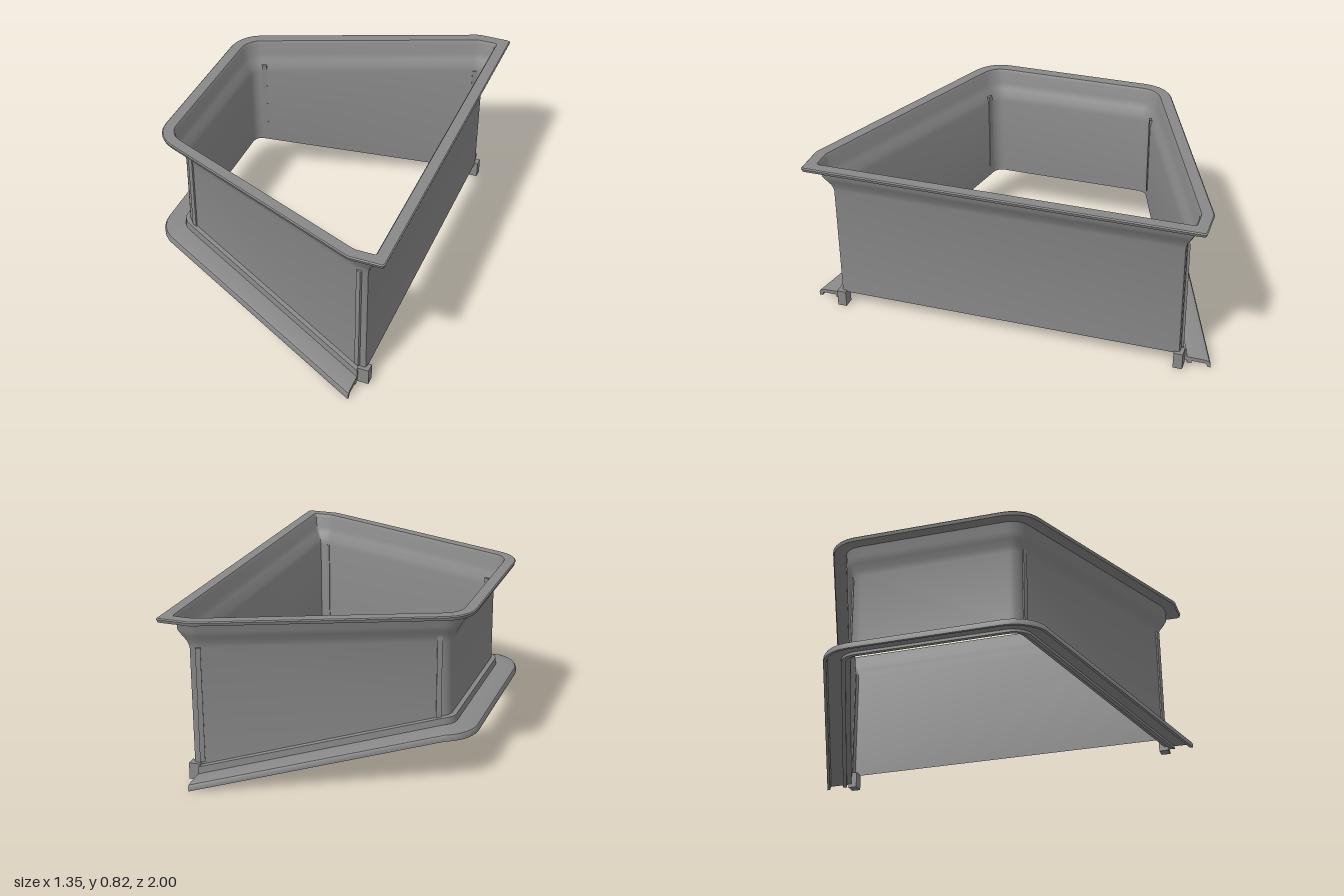
import * as THREE from 'three';
import { toCreasedNormals } from 'three/addons/utils/BufferGeometryUtils.js';

const SLOPE = 0.413, SEC = Math.hypot(1, SLOPE);
const LEFT = -0.55, RIGHT = 0.567, FLAT = 0.857, CUT = 0.533;
const slantZ = (x, d) => 0.64 + d * SEC + SLOPE * x;

// Replace corner b (between a and c) by an arc of radius r
function fillet(a, b, c, r, n) {
  const u = a.clone().sub(b).normalize(), v = c.clone().sub(b).normalize();
  const half = Math.acos(u.dot(v)) / 2;
  const centre = u.clone().add(v).normalize().multiplyScalar(r / Math.sin(half)).add(b);
  const t = r / Math.tan(half);
  const p = u.multiplyScalar(t).add(b).sub(centre), q = v.multiplyScalar(t).add(b).sub(centre);
  const a0 = p.angle(), turn = Math.atan2(p.cross(q), p.dot(q));
  return Array.from({ length: n + 1 }, (_, i) => {
    const k = a0 + turn * i / n;
    return new THREE.Vector2(centre.x + r * Math.cos(k), centre.y + r * Math.sin(k));
  });
}

// Half outline at offset d, from the right end to the left middle
function halfPath(d, closed) {
  const V = (x, z) => new THREE.Vector2(x, z);
  const mid = V(LEFT - d, 0), corner = V(LEFT - d, slantZ(LEFT - d, d));
  const xk = (FLAT + d - slantZ(0, d)) / SLOPE;
  const knee = V(xk, FLAT + d), end = V(RIGHT + d, FLAT + d);
  const back = fillet(closed ? knee : V(CUT, slantZ(CUT, d)), corner, mid, 0.06 + d, 5);
  if (!closed) return [V(CUT, slantZ(CUT, d)), ...back];
  return [
    ...fillet(V(RIGHT + d, 0), end, knee, 0.012, 2),
    ...fillet(end, knee, corner, 0.06, 2),
    ...back,
  ];
}

function fullPath(d, closed) {
  const half = halfPath(d, closed);
  return [...half, ...half.slice().reverse().map(p => new THREE.Vector2(p.x, -p.y))];
}

// Sloping underside height
const baseY = x => 0.217 * THREE.MathUtils.clamp((CUT - x) / (CUT + 0.53), 0, 1);

// Sweep a profile of [offset, y, followsSlope] round the outline
function sweep(profile, closedPath, closedProfile, crease = 0.6) {
  const rows = profile.map(([d, y, follow]) =>
    fullPath(d, closedPath).map(p => [p.x, y + (follow ? baseY(p.x) : 0), p.y]));
  const n = rows[0].length, m = rows.length, pos = [];
  for (let j = 0; j < (closedProfile ? m : m - 1); j++) {
    for (let i = 0; i < (closedPath ? n : n - 1); i++) {
      const a = rows[j][i], b = rows[j][(i + 1) % n];
      const c = rows[(j + 1) % m][(i + 1) % n], e = rows[(j + 1) % m][i];
      pos.push(...a, ...b, ...c, ...a, ...c, ...e);
    }
  }
  // Close the cut ends of an open run
  if (!closedPath && closedProfile) {
    const faces = THREE.ShapeUtils.triangulateShape(profile.map(p => new THREE.Vector2(p[0], p[1])), []);
    for (const f of faces) {
      for (const k of f) pos.push(...rows[k][0]);
      for (const k of f.slice().reverse()) pos.push(...rows[k][n - 1]);
    }
  }
  const g = new THREE.BufferGeometry();
  g.setAttribute('position', new THREE.Float32BufferAttribute(pos, 3));
  return toCreasedNormals(g, crease);
}

export function createModel() {
  const group = new THREE.Group();
  const grey = new THREE.MeshStandardMaterial({ color: 0x888888, side: THREE.DoubleSide });
  grey.name = 'grey';
  const add = (name, geometry) => {
    const mesh = new THREE.Mesh(geometry, grey);
    mesh.name = name;
    group.add(mesh);
    return mesh;
  };

  // Thin wall that flares out below the rim
  add('wall', sweep([
    [0, 0.075, true], [0, 0.66], [0.008, 0.69], [0.024, 0.72], [0.038, 0.75], [0.042, 0.805], [0.05, 0.82],
  ], true, false, 0.7));

  // Flat top rim
  add('topRim', sweep([
    [0.05, 0.82], [0.102, 0.82], [0.107, 0.815], [0.102, 0.8], [0.042, 0.8],
  ], true, true));

  // Sloping base flange on three sides, grooved underneath
  add('baseFlange', sweep([
    [0, 0.075, true], [0.022, 0.072, true], [0.025, 0.038, true], [0.105, 0.036, true],
    [0.124, 0.03, true], [0.13, 0.02, true], [0.13, 0, true], [0.116, 0, true],
    [0.11, 0.018, true], [0.045, 0.018, true], [0.045, 0.004, true], [0.025, 0.004, true],
    [0.025, 0.018, true], [0, 0.018, true],
  ], false, true));

  for (const s of [1, -1]) {
    // Feet at the open ends of the flange
    add('foot', new THREE.BoxGeometry(0.057, 0.083, 0.045)).position.set(0.557, 0.0415, s * 0.853);

    // Slim upright ribs beside the corners
    for (const [x, low, high] of [[-0.5, 0.28, 0.7], [0.522, 0.09, 0.66]]) {
      const rib = add('cornerRib', new THREE.BoxGeometry(0.024, high - low, 0.012));
      rib.position.set(x, (low + high) / 2, s * slantZ(x, 0.002));
      rib.rotation.y = -s * Math.atan(SLOPE);
    }
  }
  return group;
}
